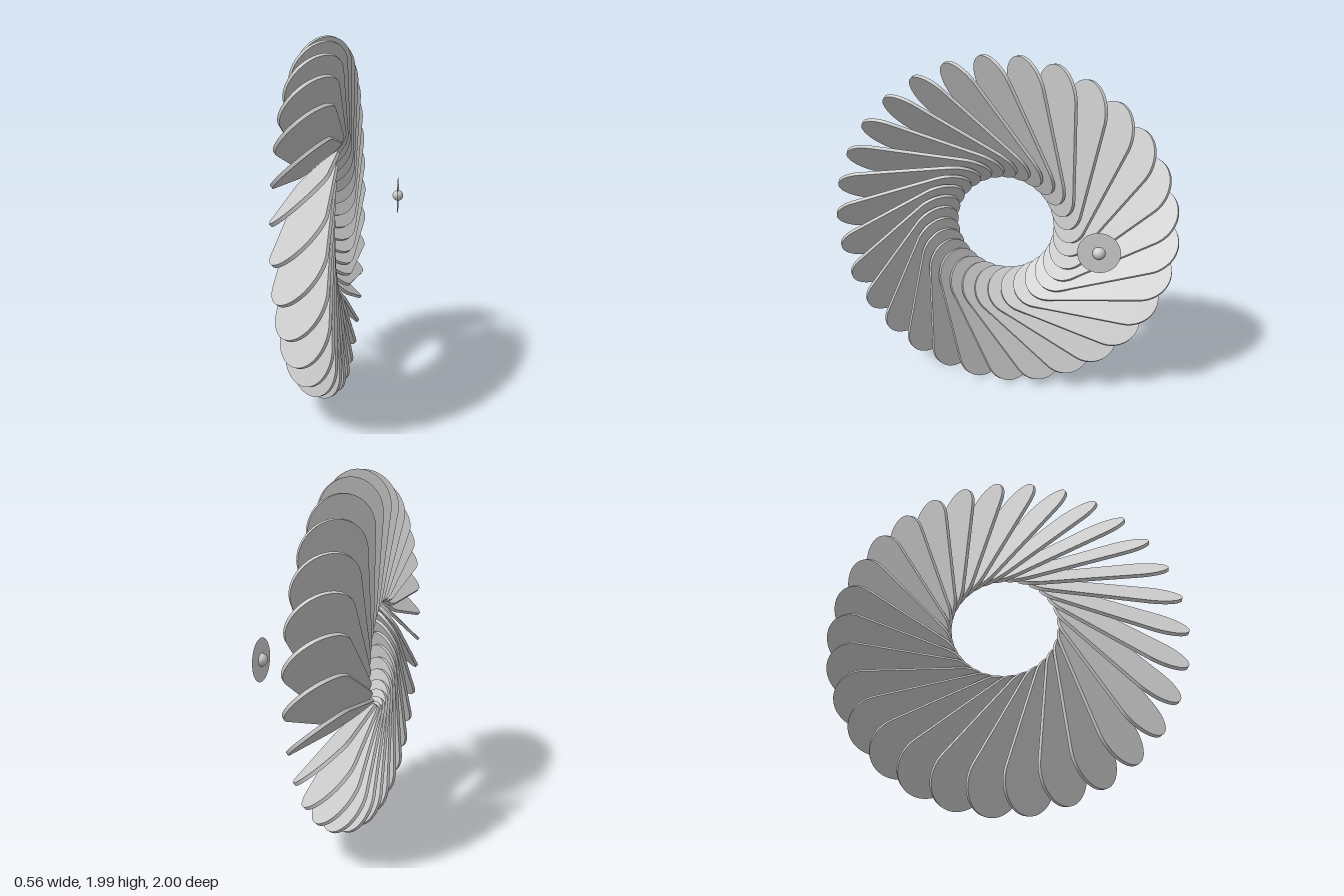
import * as THREE from 'three';
import { toCreasedNormals } from 'three/addons/utils/BufferGeometryUtils.js';

const BLADES = 30;
const THICKNESS = 0.018;
const TILT = THREE.MathUtils.degToRad(40);     // turn of a blade about its own length
const SWIRL = 0.33;                            // distance of a blade's axis from the ring centre
const TIP = { at: 0.757, radius: 0.18 };       // wide outer end
const ROOT = { at: 0.235, radius: 0.15 };      // narrower inner end
const TIP_LAG = Math.atan2(0.355, 0.932);      // angle between a blade's axis and its tip

// Tapered plate with two round ends, lying along +y
function bladeGeometry() {
  const taper = Math.asin((TIP.radius - ROOT.radius) / (TIP.at - ROOT.at));
  const outline = new THREE.Shape();
  outline.absarc(0, TIP.at, TIP.radius, -taper, Math.PI + taper);
  outline.absarc(0, ROOT.at, ROOT.radius, Math.PI + taper, 2 * Math.PI - taper);
  outline.closePath();
  const plate = new THREE.ExtrudeGeometry(outline, { depth: THICKNESS, bevelEnabled: false, curveSegments: 24 });
  plate.translate(0, 0, -THICKNESS / 2);

  // Tilt the plate about its length, point it to the back and offset it from the centre
  const across = new THREE.Vector3(Math.cos(TILT), -Math.sin(TILT), 0);
  const along = new THREE.Vector3(0, 0, -1);
  const normal = new THREE.Vector3().crossVectors(across, along);
  const pose = new THREE.Matrix4().makeBasis(across, along, normal);
  pose.setPosition(-0.135, -SWIRL, 0);
  plate.applyMatrix4(pose);
  return toCreasedNormals(plate, 0.6);
}

export function createModel() {
  const model = new THREE.Group();
  model.name = 'swirlRing';
  const grey = new THREE.MeshStandardMaterial({ color: 0xcccccc });
  const thinGrey = new THREE.MeshStandardMaterial({ color: 0xcccccc, side: THREE.DoubleSide });

  // Ring of overlapping blades around the x axis
  const ring = new THREE.Group();
  ring.name = 'bladeRing';
  ring.position.y = 1;
  const geometry = bladeGeometry();
  for (let i = 0; i < BLADES; i++) {
    const blade = new THREE.Mesh(geometry, grey);
    blade.name = 'blade';
    blade.rotation.x = (i / BLADES) * Math.PI * 2 + TIP_LAG;
    ring.add(blade);
  }
  model.add(ring);

  // Small ball with a flat halo disc, floating beside the ring
  const marker = new THREE.Group();
  marker.name = 'floatingMarker';
  marker.position.set(0.245, 1.057, -0.577);
  const ball = new THREE.Mesh(new THREE.SphereGeometry(0.034, 24, 16), grey);
  ball.name = 'ball';
  const halo = new THREE.Mesh(new THREE.CircleGeometry(0.113, 48), thinGrey);
  halo.name = 'haloDisc';
  halo.rotation.y = Math.PI / 2;
  marker.add(ball, halo);
  model.add(marker);

  return model;
}
